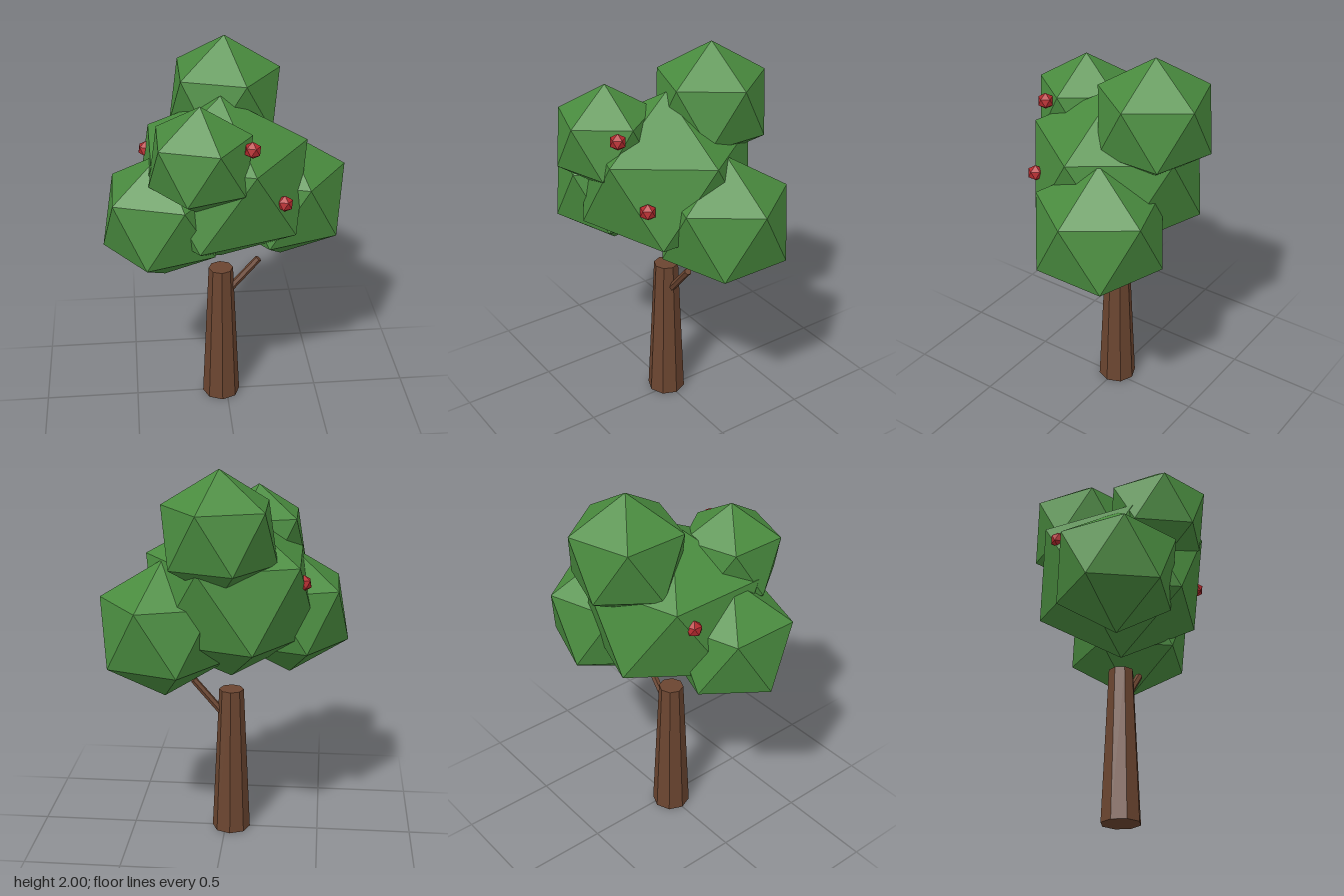
import * as THREE from 'three';

const mat = (name, color) => {
  const m = new THREE.MeshStandardMaterial({ color, flatShading: true });
  m.name = name;
  return m;
};

export function createModel() {
  const tree = new THREE.Group();
  tree.name = 'tree';
  const bark = mat('bark brown', 0x6b4530);
  const leaf = mat('leaf green', 0x4a8c3f);
  const fruit = mat('fruit red', 0xb52a2e);

  const add = (name, geometry, material, x, y, z) => {
    const mesh = new THREE.Mesh(geometry, material);
    mesh.name = name;
    mesh.position.set(x, y, z);
    tree.add(mesh);
    return mesh;
  };

  // Icosahedron standing on a corner, with one upper-ring corner toward +x
  const ico = (r) => new THREE.IcosahedronGeometry(r)
    .rotateZ(-Math.atan(2 / (1 + Math.sqrt(5))));

  // Tapered trunk
  add('trunk', new THREE.CylinderGeometry(0.065, 0.102, 0.8, 8), bark, -0.03, 0.4, 0);

  // Side branch leaning to +x
  const from = new THREE.Vector3(0, 0.645, 0);
  const to = new THREE.Vector3(0.17, 0.845, 0);
  const along = to.clone().sub(from);
  const mid = from.clone().add(to).multiplyScalar(0.5);
  const branch = add('branch',
    new THREE.CylinderGeometry(0.019, 0.02, along.length(), 6), bark, mid.x, mid.y, mid.z);
  branch.rotation.z = -Math.atan2(along.x, along.y);

  // Leaf clumps: name, radius, x, y, z
  [
    ['leftClump', 0.363, 0.305, 1.163, -0.125],
    ['rightClump', 0.341, -0.33, 1.203, 0.135],
    ['frontClump', 0.28, -0.15, 1.56, 0.277],
    ['topClump', 0.318, 0.01, 1.682, -0.243],
  ].forEach(([name, r, x, y, z]) => add(name, ico(r), leaf, x, y, z));

  // Main clump is slightly squashed
  add('mainClump', ico(0.49).scale(1, 0.918, 1), leaf, -0.03, 1.325, 0);

  // Fruits
  [
    [0.09, 1.645, 0.357],
    [0.257, 1.327, 0.302],
    [-0.4, 1.43, -0.167],
  ].forEach(([x, y, z], i) => add(`fruit${i + 1}`, ico(0.043), fruit, x, y, z));

  return tree;
}
